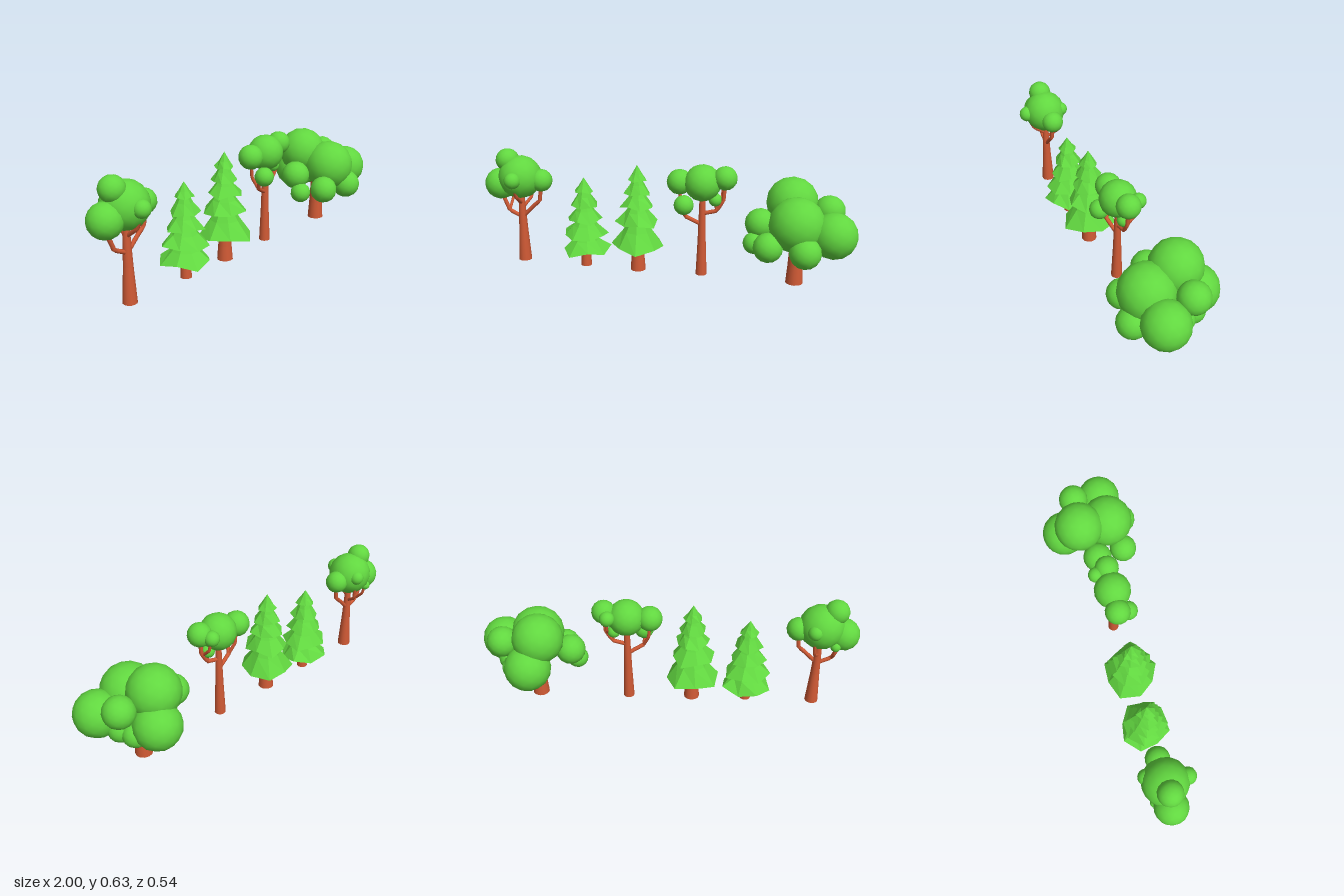
import * as THREE from 'three';

const bark = new THREE.MeshStandardMaterial({ color: 0xd05a35 });
const leaf = new THREE.MeshStandardMaterial({ color: 0x62d840 });
const needles = new THREE.MeshStandardMaterial({ color: 0x62d840, flatShading: true });

function add(group, name, geometry, material, x = 0, y = 0, z = 0) {
  const mesh = new THREE.Mesh(geometry, material);
  mesh.name = name;
  mesh.position.set(x, y, z);
  group.add(mesh);
  return mesh;
}

// Tapered trunk with a slightly flared foot
function trunk(group, baseRadius, topRadius, height) {
  const mid = (baseRadius + topRadius) / 2;
  const profile = [[0, 0], [baseRadius, 0], [mid * 1.02, height * 0.35], [topRadius, height], [0, height]]
    .map(([r, y]) => new THREE.Vector2(r, y));
  const foot = new THREE.CylinderGeometry(mid, baseRadius, height * 0.4, 12);
  foot.translate(0, height * 0.2, 0);
  add(group, 'trunkFoot', foot, bark);
  const shaft = new THREE.CylinderGeometry(topRadius, mid, profile[3].y * 0.6, 12);
  shaft.translate(0, height * 0.7, 0);
  add(group, 'trunkShaft', shaft, bark);
}

// Crooked limb: straight pieces between bends
function branch(group, points, radius = 0.011) {
  const path = new THREE.CurvePath();
  const v = points.map((p) => new THREE.Vector3(...p));
  for (let i = 1; i < v.length; i++) path.add(new THREE.LineCurve3(v[i - 1], v[i]));
  add(group, 'branch', new THREE.TubeGeometry(path, 10, radius, 7), bark);
}

// Round clumps of leaves, each [x, y, z, radius]
function foliage(group, clumps) {
  for (const [x, y, z, r] of clumps) {
    add(group, 'leafClump', new THREE.IcosahedronGeometry(r, 2), leaf, x, y, z);
  }
}

// Flared conifer skirt with an uneven rim and a hollow underside
function skirt(group, radius, rimY, height, seed) {
  const sides = 8;
  const profile = [[0, 0.35], [1, 0], [0.56, 0.45], [0, 1.15]]
    .map(([r, y]) => new THREE.Vector2(r * radius, y * height));
  const geometry = new THREE.LatheGeometry(profile, sides);
  const pos = geometry.attributes.position;
  for (let i = 0; i < pos.count; i++) {
    const x = pos.getX(i), z = pos.getZ(i);
    if (Math.hypot(x, z) < radius * 0.9) continue;
    const k = Math.floor(i / profile.length) % sides;
    const swell = 1 + 0.09 * Math.sin(k * 2.4 + seed * 1.7);
    const lift = radius * 0.1 * Math.cos(k * 2.9 + seed);
    pos.setXYZ(i, x * swell, pos.getY(i) + lift, z * swell);
  }
  geometry.rotateY(seed * 0.9);
  add(group, 'needleSkirt', geometry, needles, 0, rimY, 0);
}

function conifer(name, x, trunkRadius, tip, skirts) {
  const tree = new THREE.Group();
  tree.name = name;
  tree.position.set(x, 0, 0.012);
  trunk(tree, trunkRadius, trunkRadius * 0.7, 0.2);
  skirts.forEach(([radius, rimY], i) => {
    const next = skirts[i + 1];
    const height = next ? (next[1] - rimY) * 1.45 : (tip - rimY) / 1.15;
    skirt(tree, radius, rimY, height, i + x * 5);
  });
  return tree;
}

// Broadleaf tree: clump and branch coordinates are relative to the trunk foot
function broadleaf(name, x, z, trunkSize, clumps, branches = []) {
  const tree = new THREE.Group();
  tree.name = name;
  tree.position.set(x, 0, z);
  trunk(tree, ...trunkSize);
  foliage(tree, clumps);
  branches.forEach(({ path, radius }) => branch(tree, path, radius));
  return tree;
}

export function createModel() {
  const model = new THREE.Group();
  model.name = 'treeRow';

  model.add(broadleaf('tallRoundTree', -0.8, 0.005, [0.036, 0.013, 0.46], [
    [0, 0.48, 0, 0.118],
    [-0.115, 0.437, 0, 0.086],
    [-0.068, 0.57, 0, 0.064],
    [0.117, 0.465, -0.005, 0.062],
    [0, 0.485, 0.11, 0.044],
    [0.042, 0.495, -0.085, 0.04],
    [-0.072, 0.4, -0.065, 0.027],
  ], [
    { path: [[0, 0.25, 0], [-0.075, 0.285, 0], [-0.105, 0.36, 0], [-0.11, 0.42, 0]] },
    { path: [[0, 0.25, 0], [0.07, 0.32, 0], [0.105, 0.35, 0], [0.118, 0.45, 0]] },
    { path: [[0, 0.33, 0], [0, 0.38, 0.07], [0, 0.47, 0.11]] },
    { path: [[0, 0.3, 0], [0.03, 0.35, -0.07], [0.042, 0.48, -0.085]], radius: 0.009 },
    { path: [[-0.075, 0.285, 0], [-0.073, 0.34, -0.05], [-0.072, 0.4, -0.065]], radius: 0.008 },
  ]));

  model.add(conifer('smallConifer', -0.435, 0.03, 0.5, [
    [0.13, 0.095], [0.12, 0.18], [0.095, 0.265], [0.075, 0.345], [0.05, 0.425],
  ]));

  model.add(conifer('largeConifer', -0.14, 0.042, 0.585, [
    [0.142, 0.138], [0.115, 0.272], [0.09, 0.365], [0.07, 0.435], [0.05, 0.505],
  ]));

  model.add(broadleaf('slenderTree', 0.207, 0.005, [0.03, 0.014, 0.47], [
    [0, 0.507, 0, 0.097],
    [-0.122, 0.505, -0.003, 0.067],
    [0.117, 0.538, 0, 0.063],
    [-0.087, 0.4, 0.062, 0.052],
    [0.068, 0.42, 0, 0.035],
    [0.093, 0.535, -0.065, 0.04],
  ], [
    { path: [[0, 0.28, 0], [-0.085, 0.325, 0.02], [-0.1, 0.38, 0.045]] },
    { path: [[-0.085, 0.325, 0.02], [-0.115, 0.39, 0], [-0.122, 0.48, 0]], radius: 0.009 },
    { path: [[0, 0.34, 0], [0.075, 0.36, 0], [0.11, 0.42, 0], [0.117, 0.52, 0]] },
    { path: [[0.075, 0.36, 0], [0.068, 0.42, 0]], radius: 0.008 },
    { path: [[0.1, 0.41, 0], [0.1, 0.46, -0.05], [0.093, 0.53, -0.065]], radius: 0.008 },
  ]));

  model.add(broadleaf('broadTree', 0.7, 0.015, [0.045, 0.032, 0.24], [
    [0, 0.343, 0.08, 0.142],
    [-0.035, 0.41, -0.085, 0.134],
    [0.015, 0.28, -0.165, 0.122],
    [0.183, 0.3, 0.078, 0.118],
    [0.155, 0.38, -0.073, 0.081],
    [0.05, 0.233, 0.175, 0.08],
    [-0.135, 0.235, 0.14, 0.076],
    [-0.215, 0.215, 0.035, 0.057],
    [-0.19, 0.305, -0.02, 0.08],
    [0.13, 0.245, -0.03, 0.068],
    [0.1, 0.24, -0.105, 0.066],
  ]));

  return model;
}
